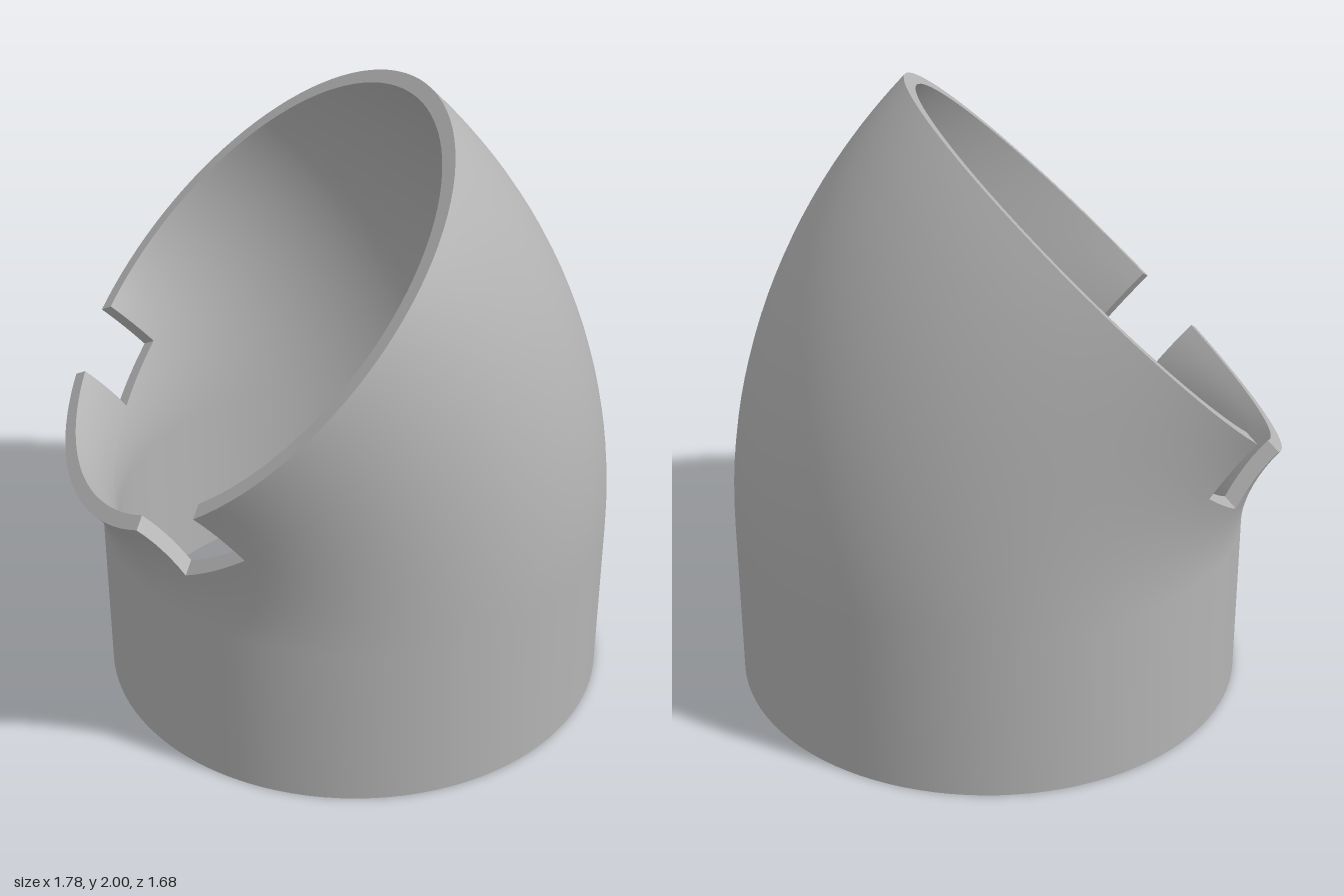
import * as THREE from 'three';

// 45 degree pipe elbow, bending toward -x, with two notches in its slanted rim
const OUTER = 0.84, INNER = 0.79;            // pipe radii
const BEND = 1.195, PX = -1.145, PY = 0.565; // bend radius and pivot
const DEPTH = 0.218, HALF = 0.132;           // notch depth and half width
const SWEEP = Math.PI / 4;
const COUNTS = [6, 24, 6, 72];               // columns: notch, tab, notch, long rim
const BEND_ROWS = 20, NOTCH_ROWS = 6;
const FLOOR = 1 + BEND_ROWS, TOP = FLOOR + NOTCH_ROWS;
const COLS = COUNTS.reduce((a, b) => a + b, 0);

// Angle around the pipe where a notch side (offset s) meets the wall at depth d
function notchAngle(r, d, s) {
  let lo = Math.PI / 2, hi = Math.PI;
  for (let i = 0; i < 40; i++) {
    const a = (lo + hi) / 2, R = BEND + r * Math.cos(a);
    const v = BEND - Math.sqrt(R * R - d * d);
    if ((r * Math.sin(a) - v) / Math.SQRT2 > s) lo = a; else hi = a;
  }
  return (lo + hi) / 2;
}

// Angles of all columns at a depth below the slanted rim
function columnAngles(r, d) {
  const e1 = notchAngle(r, d, HALF), e2 = notchAngle(r, d, -HALF), T = 2 * Math.PI;
  const stops = [e1, e2, T - e2, T - e1, T + e1], out = [];
  COUNTS.forEach((n, s) => {
    for (let i = 0; i < n; i++) out.push(stops[s] + (stops[s + 1] - stops[s]) * i / n);
  });
  return out;
}

// Rows of points: straight foot, bend up to the notch floor, then up to the rim
function wallPoints(r) {
  const rows = [];
  for (let k = 0; k <= TOP; k++) {
    const d = k <= FLOOR ? DEPTH : DEPTH * (TOP - k) / NOTCH_ROWS;
    rows.push(columnAngles(r, d).map((a) => {
      const R = BEND + r * Math.cos(a), z = r * Math.sin(a);
      if (k === 0) return [PX + R, 0, z];
      let t = SWEEP - Math.asin(d / R);
      if (k < FLOOR) t *= (k - 1) / BEND_ROWS;
      return [PX + R * Math.cos(t), PY + R * Math.sin(t), z];
    }));
  }
  return rows;
}

function isNotch(j) {
  const second = COUNTS[0] + COUNTS[1];
  return j < COUNTS[0] || (j >= second && j < second + COUNTS[2]);
}

// Smooth wall, left open at the notches
function wallGeometry(rows, inward) {
  const index = [];
  for (let k = 0; k < TOP; k++) for (let j = 0; j < COLS; j++) {
    if (k >= FLOOR && isNotch(j)) continue;
    const n = (j + 1) % COLS;
    const a = k * COLS + j, b = a + COLS, c = (k + 1) * COLS + n, d = k * COLS + n;
    if (inward) index.push(a, c, b, a, d, c);
    else index.push(a, b, c, a, c, d);
  }
  const g = new THREE.BufferGeometry();
  g.setAttribute('position', new THREE.Float32BufferAttribute(rows.flat(2), 3));
  g.setIndex(index);
  g.computeVertexNormals();
  return g;
}

// Flat faces from a list of quads
function quadGeometry(quads) {
  const pos = quads.flatMap(([a, b, c, d]) => [a, b, c, a, c, d]).flat();
  const g = new THREE.BufferGeometry();
  g.setAttribute('position', new THREE.Float32BufferAttribute(pos, 3));
  g.computeVertexNormals();
  return g;
}

export function createModel() {
  const group = new THREE.Group();
  group.name = 'pipeElbow';
  const grey = new THREE.MeshStandardMaterial({ color: 0xb4b4b4 });
  grey.name = 'grey';
  const add = (name, geometry) => {
    const mesh = new THREE.Mesh(geometry, grey);
    mesh.name = name;
    group.add(mesh);
  };

  const out = wallPoints(OUTER), inn = wallPoints(INNER);
  add('outerWall', wallGeometry(out, false));
  add('innerWall', wallGeometry(inn, true));

  // Rims and notch floors
  const bottom = [], top = [], notches = [];
  for (let j = 0; j < COLS; j++) {
    const n = (j + 1) % COLS;
    bottom.push([out[0][j], out[0][n], inn[0][n], inn[0][j]]);
    const k = isNotch(j) ? FLOOR : TOP;
    (isNotch(j) ? notches : top).push([out[k][j], inn[k][j], inn[k][n], out[k][n]]);
  }
  // Notch sides
  const s = COUNTS[0] + COUNTS[1];
  for (const [c0, c1] of [[0, COUNTS[0]], [s, s + COUNTS[2]]]) {
    for (let k = FLOOR; k < TOP; k++) {
      notches.push([out[k][c0], out[k + 1][c0], inn[k + 1][c0], inn[k][c0]]);
      notches.push([out[k][c1], inn[k][c1], inn[k + 1][c1], out[k + 1][c1]]);
    }
  }
  add('bottomRim', quadGeometry(bottom));
  add('slantedRim', quadGeometry(top));
  add('rimNotches', quadGeometry(notches));
  return group;
}
